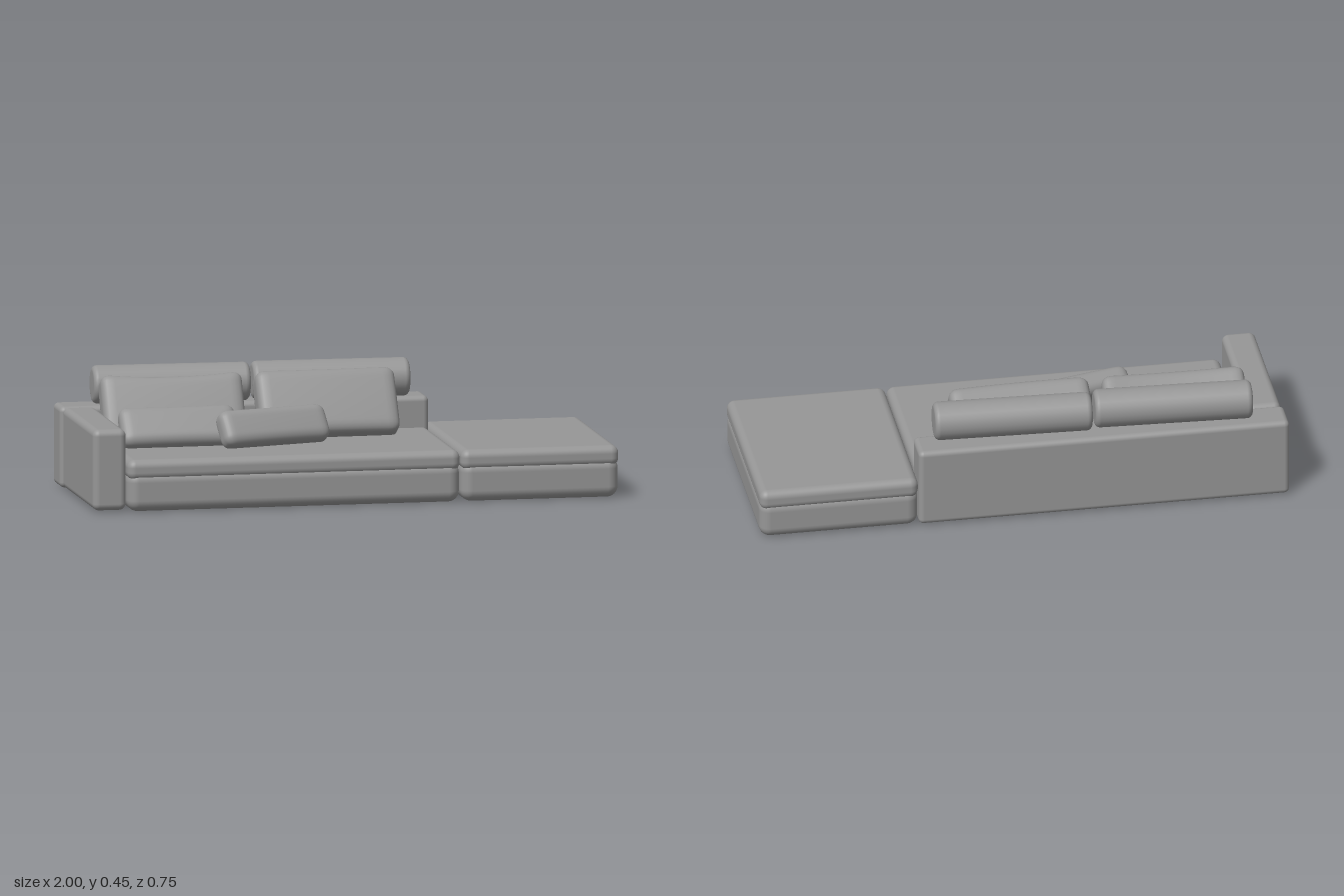
import * as THREE from 'three';
import { RoundedBoxGeometry } from 'three/addons/geometries/RoundedBoxGeometry.js';
import { mergeVertices } from 'three/addons/utils/BufferGeometryUtils.js';

const fabric = new THREE.MeshStandardMaterial({ color: 0x969696 });
fabric.name = 'grey fabric';

function add(group, name, geometry) {
  const mesh = new THREE.Mesh(geometry, fabric);
  mesh.name = name;
  group.add(mesh);
  return mesh;
}

// Rounded block given by its limits along x, y and z
function block(group, name, [x0, x1], [y0, y1], [z0, z1], r) {
  const mesh = add(group, name, new RoundedBoxGeometry(x1 - x0, y1 - y0, z1 - z0, 4, r));
  mesh.position.set((x0 + x1) / 2, (y0 + y1) / 2, (z0 + z1) / 2);
}

// Soft pillow: subdivided box with rounded edges, thinner rim and sagging top
function pillowGeometry(w, h, t, r, sag) {
  let g = new THREE.BoxGeometry(w, h, t, 32, 18, 10);
  g.deleteAttribute('normal');
  g.deleteAttribute('uv');
  g = mergeVertices(g);
  const p = g.attributes.position;
  const v = new THREE.Vector3(), core = new THREE.Vector3();
  const limit = new THREE.Vector3(w / 2 - r, h / 2 - r, t / 2 - r);
  const low = limit.clone().negate();
  for (let i = 0; i < p.count; i++) {
    v.fromBufferAttribute(p, i);
    core.copy(v).clamp(low, limit);
    v.sub(core);
    if (v.lengthSq() > 0) v.setLength(r);
    v.add(core);
    const a = (2 * v.x) / w, b = (2 * v.y) / h;
    v.z *= 1 - 0.1 * a * a - 0.08 * b * b;
    v.y -= sag * (1 - a * a) * Math.max(0, b);
    p.setXYZ(i, v.x, v.y, v.z);
  }
  g.computeVertexNormals();
  return g;
}

// Bolster: cylinder with softened rims, lying along x
function bolsterGeometry(length, radius) {
  const e = 0.02, points = [new THREE.Vector2(0, -length / 2)];
  for (const end of [-1, 1]) {
    for (let i = 0; i <= 4; i++) {
      const a = ((end < 0 ? i : 4 - i) / 4) * Math.PI / 2;
      points.push(new THREE.Vector2(
        radius - e + e * Math.sin(a), end * (length / 2 - e + e * Math.cos(a))));
    }
  }
  points.push(new THREE.Vector2(0, length / 2));
  return new THREE.LatheGeometry(points, 24).rotateZ(-Math.PI / 2);
}

export function createModel() {
  const sofa = new THREE.Group();
  sofa.name = 'sofa';

  // Frame
  block(sofa, 'backrest', [-1, 0.4], [0.005, 0.31], [-0.375, -0.237], 0.02);
  block(sofa, 'armrest', [-0.992, -0.866], [0.005, 0.31], [-0.235, 0.345], 0.025);

  // Seat and chaise: a base with a thin mattress on top
  const sections = [
    ['seat', [-0.865, 0.397], [-0.237, 0.373]],
    ['chaise', [0.401, 1], [-0.375, 0.373]],
  ];
  for (const [name, x, z] of sections) {
    block(sofa, name + 'Base', x, [0, 0.152], z, 0.042);
    block(sofa, name + 'Mattress', x, [0.118, 0.196], z, 0.03);
  }

  // Bolsters along the top of the backrest
  for (const [name, x, z, yaw] of [
    ['rightBolster', -0.572, -0.287, -0.045],
    ['leftBolster', 0.032, -0.278, -0.038],
  ]) {
    const bolster = add(sofa, name, bolsterGeometry(0.592, 0.072));
    bolster.position.set(x, 0.382, z);
    bolster.rotation.y = yaw;
  }

  // Loose cushions: size, sag, centre, backward tilt, yaw
  const cushions = [
    ['rightBackCushion', [0.535, 0.26, 0.125], 0.018, [-0.598, 0.312, -0.122], 0.5, -0.02],
    ['leftBackCushion', [0.53, 0.26, 0.125], 0.003, [-0.016, 0.311, -0.11], 0.53, 0.02],
    ['smallCushion', [0.44, 0.165, 0.092], 0.005, [-0.607, 0.262, 0.025], 0.7, 0.01],
    ['frontCushion', [0.435, 0.145, 0.095], 0.003, [-0.257, 0.262, 0.078], 0.6, 0.26],
  ];
  for (const [name, [w, h, t], sag, at, tilt, yaw] of cushions) {
    const cushion = add(sofa, name, pillowGeometry(w, h, t, 0.036, sag));
    cushion.position.set(...at);
    cushion.rotation.set(-tilt, yaw, 0, 'YXZ');
  }
  return sofa;
}
